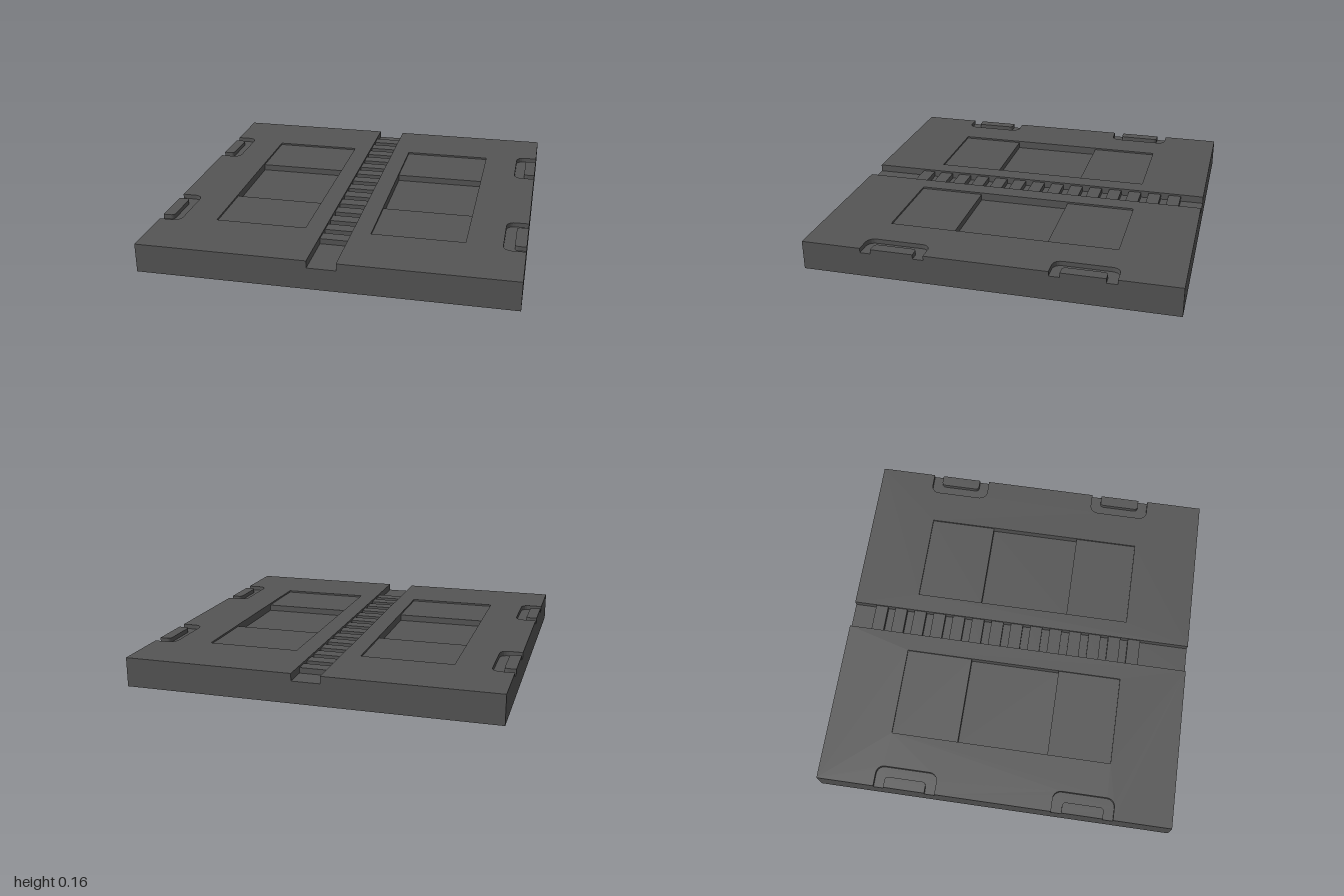
import * as THREE from 'three';

const TOP = 0.16, GROOVE = 0.077, GROOVE_Y = 0.12, SLOT_Y = 0.135;
const material = new THREE.MeshStandardMaterial({ color: 0x555555, flatShading: true, side: THREE.DoubleSide });

const add = (parent, name, geometry) => {
  const mesh = new THREE.Mesh(geometry, material);
  mesh.name = name;
  parent.add(mesh);
  return mesh;
};

const toShape = (pts) => new THREE.Shape(pts.map(([a, b]) => new THREE.Vector2(a, b)));

// Horizontal sheet from [x, z] points at height y, facing up
function sheet(pts, y, holes = []) {
  const flip = (p) => p.map(([x, z]) => [x, -z]);
  const shape = toShape(flip(pts));
  holes.forEach((h) => shape.holes.push(toShape(flip(h))));
  return new THREE.ShapeGeometry(shape).rotateX(-Math.PI / 2).translate(0, y, 0);
}

// Vertical wall along [x, z] points between two heights
function wall(pts, y0, y1, closed = false) {
  const path = closed ? [...pts, pts[0]] : pts;
  const pos = [];
  for (let i = 0; i < path.length - 1; i++) {
    const [ax, az] = path[i], [bx, bz] = path[i + 1];
    pos.push(ax, y0, az, bx, y0, bz, bx, y1, bz, ax, y0, az, bx, y1, bz, ax, y1, az);
  }
  const g = new THREE.BufferGeometry();
  g.setAttribute('position', new THREE.Float32BufferAttribute(pos, 3));
  g.computeVertexNormals();
  return g;
}

const rect = (x0, x1, z0, z1) => [[x0, z0], [x1, z0], [x1, z1], [x0, z1]];

// Path in from the side edge, around two rounded corners and back out
function bracket(x, z0, z1, r) {
  const pts = [[1, z0]];
  for (const [cz, start] of [[z0 + r, 0], [z1 - r, Math.PI / 2]]) {
    for (let i = 0; i <= 5; i++) {
      const a = start + (i / 5) * (Math.PI / 2);
      pts.push([x + r - r * Math.sin(a), cz - r * Math.cos(a)]);
    }
  }
  pts.push([1, z1]);
  return pts;
}

function buildHalf() {
  const half = new THREE.Group();
  const panelX = [0.18, 0.685], panelZ = [-0.63, -0.25, 0.265, 0.625];
  const slots = [[-0.677, -0.33], [0.327, 0.673]].map(([a, b]) => ({
    a, b,
    outer: bracket(0.88, a, b, 0.045),
    inner: bracket(0.938, a + 0.057, b - 0.057, 0.02),
  }));

  // Top deck with the panel opening and notched side edge
  const outline = [[GROOVE, -1], [1, -1], ...slots.flatMap((s) => s.outer), [1, 1], [GROOVE, 1]];
  const opening = rect(...panelX, panelZ[0], panelZ[3]);
  add(half, 'topDeck', sheet(outline, TOP, [opening]));

  // Recessed panel: shallow ends, deeper middle
  const endY = TOP - 0.01, midY = TOP - 0.045;
  add(half, 'panelRim', wall(opening, endY, TOP, true));
  [endY, midY, endY].forEach((y, i) =>
    add(half, 'panelFloor', sheet(rect(...panelX, panelZ[i], panelZ[i + 1]), y)));
  add(half, 'panelWell', wall(rect(...panelX, panelZ[1], panelZ[2]), midY, endY, true));

  // Bracket-shaped slots around the hand grips
  for (const { outer, inner } of slots) {
    add(half, 'gripTop', sheet(inner, TOP));
    add(half, 'slotFloor', sheet([...outer, ...[...inner].reverse()], SLOT_Y));
    add(half, 'slotOuterWall', wall(outer, SLOT_Y, TOP));
    add(half, 'slotInnerWall', wall(inner, SLOT_Y, TOP));
  }

  // Side skirt, notched where the slots run out
  const edge = [[-1, 0], [-1, TOP]];
  for (const { a, b } of slots) {
    for (const [n0, n1] of [[a, a + 0.057], [b - 0.057, b]]) {
      edge.push([n0, TOP], [n0, SLOT_Y], [n1, SLOT_Y], [n1, TOP]);
    }
  }
  edge.push([1, TOP], [1, 0]);
  add(half, 'sideSkirt', new THREE.ShapeGeometry(toShape(edge.map(([z, y]) => [-z, y])))
    .rotateY(Math.PI / 2).translate(1, 0, 0));

  // Side wall of the central channel
  add(half, 'channelWall', wall([[GROOVE, 1], [GROOVE, -1]], GROOVE_Y, TOP));
  return half;
}

export function createModel() {
  const model = new THREE.Group();
  model.name = 'floorTile';

  for (const side of [1, -1]) {
    const half = buildHalf();
    half.name = side > 0 ? 'leftHalf' : 'rightHalf';
    half.scale.x = side;
    model.add(half);
  }

  // Front and back skirts, notched for the channel
  const end = toShape([[-1, 0], [1, 0], [1, TOP], [GROOVE, TOP], [GROOVE, GROOVE_Y],
    [-GROOVE, GROOVE_Y], [-GROOVE, TOP], [-1, TOP]]);
  add(model, 'frontSkirt', new THREE.ShapeGeometry(end).translate(0, 0, 1));
  add(model, 'backSkirt', new THREE.ShapeGeometry(end).rotateY(Math.PI).translate(0, 0, -1));

  // Channel floor stepping up into cross ribs, open underneath
  const ribs = 14, pitch = 0.1168, width = 0.072, ribY = 0.15;
  let z = -1;
  for (let i = 0; i <= ribs; i++) {
    const z0 = i < ribs ? -0.872 + i * pitch : 1;
    add(model, 'channelFloor', sheet(rect(-GROOVE, GROOVE, z, z0), GROOVE_Y));
    if (i === ribs) break;
    z = z0 + width;
    add(model, 'ribTop', sheet(rect(-GROOVE, GROOVE, z0, z), ribY));
    add(model, 'ribBack', wall([[GROOVE, z0], [-GROOVE, z0]], GROOVE_Y, ribY));
    add(model, 'ribFront', wall([[-GROOVE, z], [GROOVE, z]], GROOVE_Y, ribY));
  }
  return model;
}
